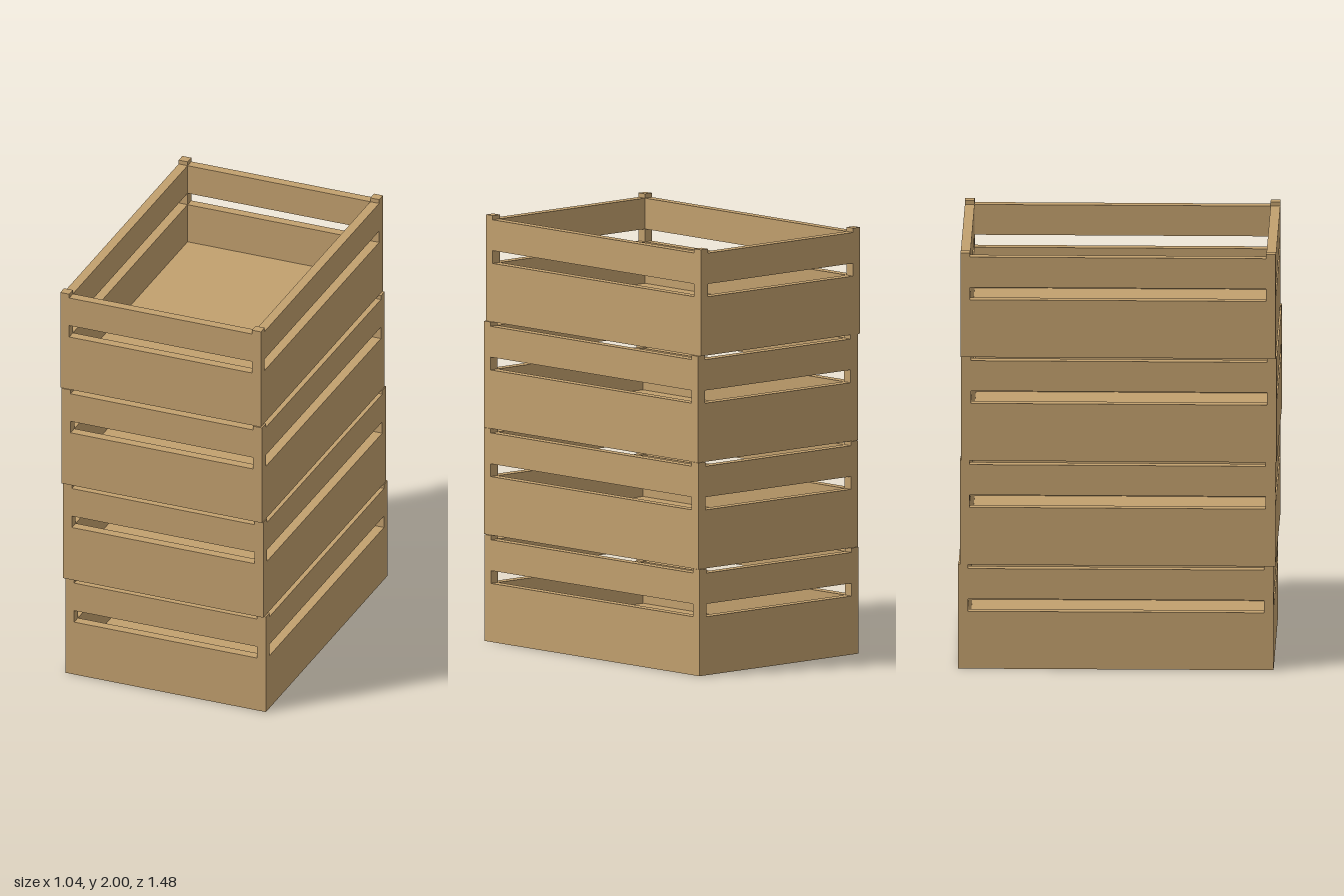
import * as THREE from 'three';

const W = 1.01, D = 1.465, H = 0.5; // outer size of one crate
const T = 0.045;                    // wall and post thickness
const SLOT = [0.275, 0.335];        // hand slot, bottom and top
const RAIL_TOP = 0.48;              // the corner posts rise above this
const FLOOR = 0.08;

export function createModel() {
  const wood = new THREE.MeshStandardMaterial({ color: 0xc2a06e });
  wood.name = 'wood';

  const add = (parent, name, geometry, x, y, z) => {
    const mesh = new THREE.Mesh(geometry, wood);
    mesh.name = name;
    mesh.position.set(x, y, z);
    parent.add(mesh);
  };

  // End wall: corner posts, panel and rail in one piece, with the slot cut out
  const hw = W / 2, iw = hw - T;
  const outline = new THREE.Shape([
    [-hw, 0], [hw, 0], [hw, H], [iw, H], [iw, RAIL_TOP],
    [-iw, RAIL_TOP], [-iw, H], [-hw, H],
  ].map(([x, y]) => new THREE.Vector2(x, y)));
  outline.holes.push(new THREE.Path([
    [-iw, SLOT[0]], [-iw, SLOT[1]], [iw, SLOT[1]], [iw, SLOT[0]],
  ].map(([x, y]) => new THREE.Vector2(x, y))));
  const endWall = new THREE.ExtrudeGeometry(outline, { depth: T, bevelEnabled: false });

  // Side boards and floor fit between the end walls
  const innerD = D - 2 * T;
  const railH = RAIL_TOP - SLOT[1];
  const sidePanel = new THREE.BoxGeometry(T, SLOT[0], innerD);
  const sideRail = new THREE.BoxGeometry(T, railH, innerD);
  const floor = new THREE.BoxGeometry(W - 2 * T, FLOOR, innerD);

  const makeCrate = () => {
    const crate = new THREE.Group();
    add(crate, 'frontWall', endWall, 0, 0, D / 2 - T);
    add(crate, 'backWall', endWall, 0, 0, -D / 2);
    for (const [side, s] of [['left', 1], ['right', -1]]) {
      const x = s * (hw - T / 2);
      add(crate, side + 'Panel', sidePanel, x, SLOT[0] / 2, 0);
      add(crate, side + 'Rail', sideRail, x, SLOT[1] + railH / 2, 0);
    }
    add(crate, 'floor', floor, 0, FLOOR / 2, 0);
    return crate;
  };

  // Four crates stacked slightly out of line: x, z, turn
  const stack = new THREE.Group();
  stack.name = 'crateStack';
  [
    [0.008, -0.008, 0.005],
    [0.002, 0.002, 0.002],
    [-0.002, 0.008, 0.002],
    [-0.012, 0.003, 0.004],
  ].forEach(([x, z, turn], i) => {
    const crate = makeCrate();
    crate.name = 'crate' + (i + 1);
    crate.position.set(x, i * H, z);
    crate.rotation.y = turn;
    stack.add(crate);
  });
  return stack;
}
